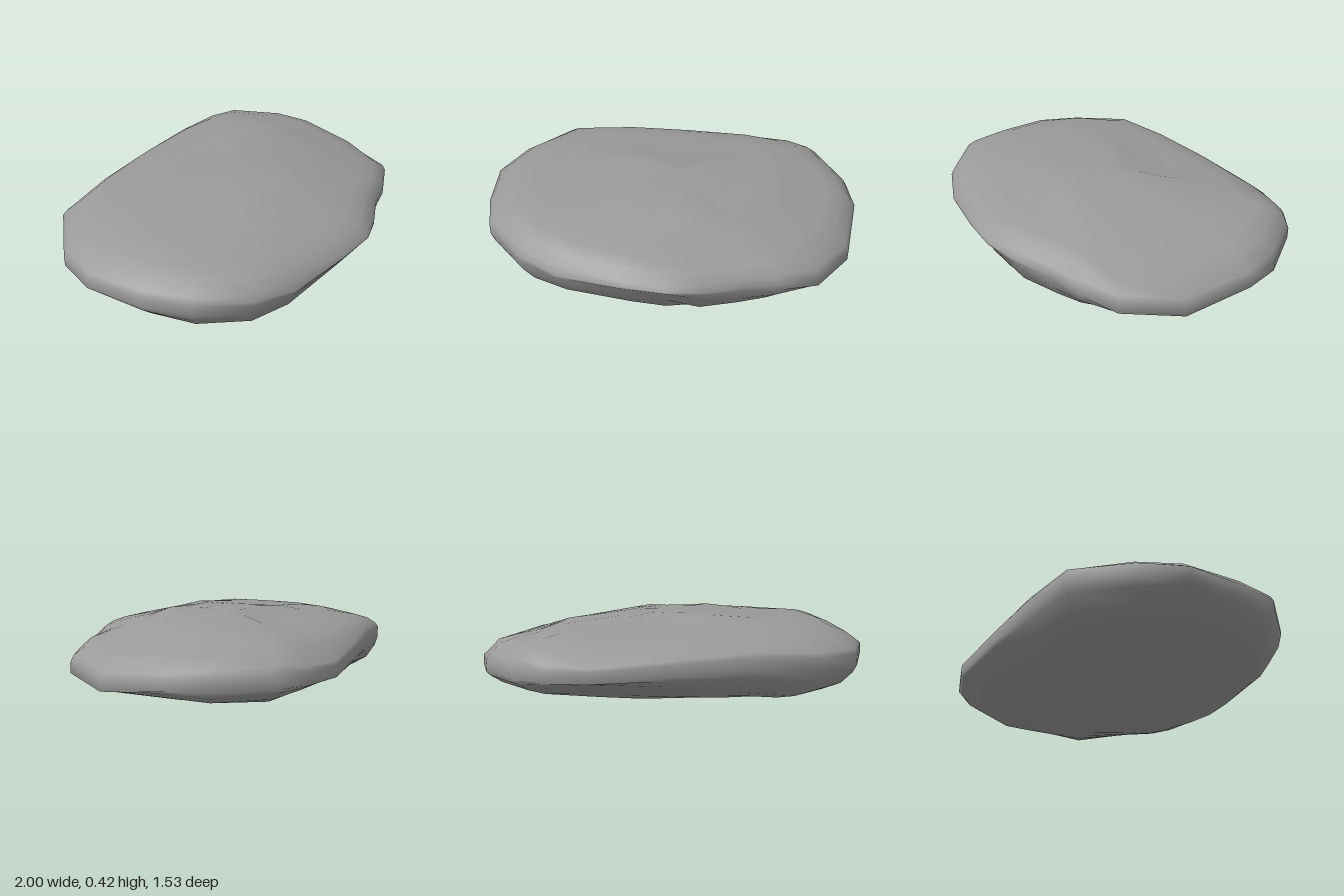
import * as THREE from 'three';

// Piecewise-linear profile through [position, height] pairs
function profile(pts, v) {
  if (v <= pts[0][0]) return pts[0][1];
  for (let i = 1; i < pts.length; i++) {
    const [a, ya] = pts[i - 1], [b, yb] = pts[i];
    if (v <= b) return ya + (yb - ya) * (v - a) / (b - a);
  }
  return pts[pts.length - 1][1];
}

// Soft local swelling around (cx, cz)
const bump = (x, z, cx, cz, width) => Math.exp(-((x - cx) ** 2 + (z - cz) ** 2) / width);

// Rim of the slab: x, z, height
const rim = [
  [1, -0.19, 0.19], [0.98, 0.17, 0.15], [0.84, 0.45, 0.185], [0.65, 0.55, 0.2], [0.49, 0.6, 0.21],
  [0.3, 0.7, 0.23], [0.13, 0.765, 0.26], [-0.09, 0.755, 0.25], [-0.43, 0.71, 0.23],
  [-0.64, 0.63, 0.25], [-0.86, 0.44, 0.255], [-0.95, 0.2, 0.235], [-1, -0.1, 0.23],
  [-0.93, -0.34, 0.21], [-0.71, -0.59, 0.235], [-0.36, -0.65, 0.25], [0, -0.71, 0.23],
  [0.41, -0.765, 0.205], [0.64, -0.715, 0.2], [0.77, -0.63, 0.2], [0.95, -0.38, 0.19],
];

// Upper and lower limits along x and along z
const topX = [[-1, 0.29], [-0.94, 0.335], [-0.76, 0.38], [-0.12, 0.425], [0.14, 0.425], [0.6, 0.38], [0.7, 0.345], [0.92, 0.325], [1, 0.25]];
const topZ = [[-0.76, 0.26], [-0.64, 0.335], [-0.5, 0.365], [-0.22, 0.395], [-0.17, 0.425], [0.31, 0.425], [0.36, 0.4], [0.7, 0.34], [0.77, 0.28]];
const lowX = [[-1, 0.18], [-0.9, 0.11], [-0.72, 0.05], [-0.14, 0.005], [0.14, 0.005], [0.3, 0.03], [0.89, 0.095], [1, 0.14]];
const lowZ = [[-0.75, 0.17], [-0.6, 0.11], [-0.35, 0.01], [-0.2, 0], [-0.15, 0.02], [0, 0.025], [0.63, 0.055], [0.77, 0.24]];

// Top: hollow at the front on one side, lower towards that side's end, sagging at the opposite back corner
function topHeight(x, z) {
  const hollow = 0.06 * bump(x, z, 0.58, 0.52, 0.1);
  const slump = 0.04 * bump(x, z, 0.98, 0.1, 0.06);
  const sag = 0.04 * bump(x, z, -0.85, -0.45, 0.08);
  return Math.min(profile(topX, x), profile(topZ, z)) - hollow - slump - sag;
}

// Underside: raised under the hollow and the front corner, lowered under the sag
function lowHeight(x, z) {
  const raise = 0.05 * bump(x, z, 0.84, 0.48, 0.05) + 0.03 * bump(x, z, -0.78, 0.55, 0.05);
  const sag = 0.03 * bump(x, z, -0.85, -0.42, 0.07);
  return Math.max(profile(lowX, x), profile(lowZ, z)) + raise - sag;
}

// The edge is slightly blunt at the sides and back, sharp at the front
const bluntness = (z) => 0.024 * THREE.MathUtils.clamp((0.72 - z) / 0.3, 0, 1) + 0.004;

// Nested rings: scale of the outline, how far top and underside reach from rim to limit
const steps = [
  [0.15, 1, 1], [0.3, 1, 1], [0.45, 1, 1], [0.6, 1, 1], [0.72, 1, 1],
  [0.83, 0.96, 0.99], [0.92, 0.82, 0.87], [0.98, 0.4, 0.42], [1, 0, 0],
];
const rings = [
  ...steps.map(([s, f]) => [s, f, topHeight, 1]),
  ...steps.slice().reverse().map(([s, , f]) => [s, f, lowHeight, -1]),
];

function stoneGeometry() {
  const n = rim.length, pos = [], index = [];
  for (const [s, f, limit, side] of rings) {
    for (const [rx, rz, ry] of rim) {
      const x = rx * s, z = rz * s, y = ry + side * bluntness(rz);
      pos.push(x, y + (limit(x, z) - y) * f, z);
    }
  }
  const at = (k, i) => k * n + (i % n);
  for (let k = 0; k < rings.length - 1; k++) {
    for (let i = 0; i < n; i++) {
      index.push(at(k, i), at(k, i + 1), at(k + 1, i));
      index.push(at(k, i + 1), at(k + 1, i + 1), at(k + 1, i));
    }
  }
  // Close the middle of the top and the underside
  const top = pos.length / 3, last = rings.length - 1;
  pos.push(0, topHeight(0, 0), 0, 0, lowHeight(0, 0), 0);
  for (let i = 0; i < n; i++) {
    index.push(top, at(0, i + 1), at(0, i));
    index.push(top + 1, at(last, i), at(last, i + 1));
  }
  const g = new THREE.BufferGeometry();
  g.setAttribute('position', new THREE.Float32BufferAttribute(pos, 3));
  g.setIndex(index);
  g.computeVertexNormals();
  return g;
}

export function createModel() {
  const group = new THREE.Group();
  group.name = 'flatRock';
  const stone = new THREE.Mesh(stoneGeometry(), new THREE.MeshStandardMaterial({ color: 0x9a9a9a }));
  stone.name = 'stone';
  group.add(stone);
  return group;
}
